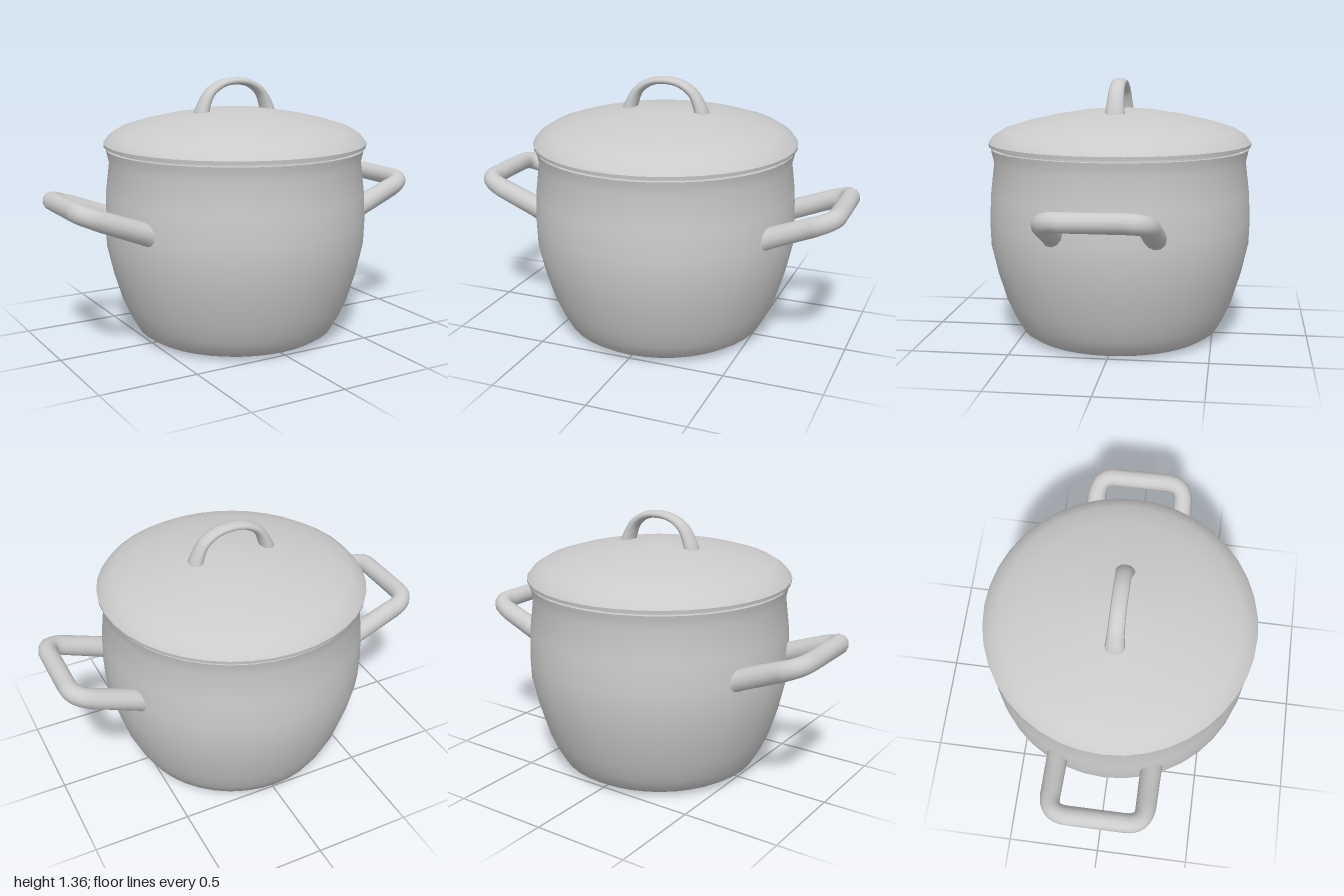
import * as THREE from 'three';
import { toCreasedNormals } from 'three/addons/utils/BufferGeometryUtils.js';

const material = new THREE.MeshStandardMaterial({ color: 0xcccccc, side: THREE.DoubleSide });

function addMesh(parent, name, geometry) {
  const mesh = new THREE.Mesh(geometry, material);
  mesh.name = name;
  parent.add(mesh);
  return mesh;
}

// Revolve a profile of [radius, height] pairs, listed from the bottom outwards
function revolve(profile) {
  const points = profile.map(([r, y]) => new THREE.Vector2(r, y));
  return toCreasedNormals(new THREE.LatheGeometry(points, 40), 0.7);
}

// Sweep an oval along a flat path; size(t) gives [half size in plane, half size along z]
function sweep(points, size, sides = 12) {
  const position = [], index = [];
  const last = points.length - 1;
  points.forEach((p, i) => {
    const tangent = points[Math.min(i + 1, last)].clone().sub(points[Math.max(i - 1, 0)]).normalize();
    const [a, b] = size(i / last);
    for (let j = 0; j < sides; j++) {
      const angle = (j / sides) * Math.PI * 2;
      const c = Math.cos(angle) * a;
      position.push(p.x - tangent.y * c, p.y + tangent.x * c, Math.sin(angle) * b);
      if (i === last) continue;
      const k = i * sides + j, n = i * sides + ((j + 1) % sides);
      index.push(k, k + sides, n, n, k + sides, n + sides);
    }
  });
  // Flip the winding so that faces point away from the path
  for (let i = 0; i < index.length; i += 3) [index[i + 1], index[i + 2]] = [index[i + 2], index[i + 1]];
  const geometry = new THREE.BufferGeometry();
  geometry.setAttribute('position', new THREE.Float32BufferAttribute(position, 3));
  geometry.setIndex(index);
  geometry.computeVertexNormals();
  return geometry;
}

export function createModel() {
  const model = new THREE.Group();
  model.name = 'cookingPot';

  // Pot: bulging outer wall, flared rim, thin inner wall and floor
  addMesh(model, 'potBody', revolve([
    [0, 0.003], [0.44, 0.003], [0.485, 0.014], [0.525, 0.04], [0.565, 0.11], [0.605, 0.2],
    [0.65, 0.35], [0.683, 0.5], [0.687, 0.62], [0.68, 0.77], [0.66, 0.93], [0.672, 0.985],
    [0.675, 1.0], [0.652, 1.0], [0.638, 0.93], [0.66, 0.62], [0.62, 0.35], [0.54, 0.11],
    [0.44, 0.03], [0, 0.03],
  ]));

  // Lid: shallow dome with a rolled edge and hollow underside
  addMesh(model, 'lid', revolve([
    [0, 1.185], [0.2, 1.17], [0.4, 1.13], [0.58, 1.075], [0.645, 1.03], [0.65, 1.013],
    [0.685, 1.013], [0.687, 1.03], [0.66, 1.065], [0.605, 1.1], [0.5, 1.133], [0.37, 1.163],
    [0.2, 1.192], [0.08, 1.203], [0, 1.205],
  ]));

  // Lid grip: flattened arch, thicker at its feet
  const arch = new THREE.SplineCurve([
    [-0.2, 1.17], [-0.19, 1.21], [-0.15, 1.285], [-0.08, 1.33], [0, 1.342],
    [0.08, 1.33], [0.15, 1.285], [0.19, 1.21], [0.2, 1.17],
  ].map(([x, y]) => new THREE.Vector2(x, y)));
  addMesh(model, 'lidGrip', sweep(arch.getSpacedPoints(32), (t) => {
    const foot = Math.abs(t * 2 - 1);
    return [0.019 + 0.02 * foot ** 2, 0.039 + 0.014 * foot ** 3];
  }));

  // Side handles: rounded square loops rising outwards
  const loop = new THREE.Path();
  loop.moveTo(-0.04, -0.245);
  loop.lineTo(0.02, -0.243);
  loop.lineTo(0.25, -0.24);
  loop.quadraticCurveTo(0.355, -0.24, 0.355, -0.145);
  loop.lineTo(0.355, 0.145);
  loop.quadraticCurveTo(0.355, 0.24, 0.25, 0.24);
  loop.lineTo(0.02, 0.243);
  loop.lineTo(-0.04, 0.245);
  const handle = sweep(loop.getPoints(8), (t) => {
    const r = 0.048 + 0.012 * Math.abs(t * 2 - 1) ** 6;
    return [r, r];
  });
  handle.rotateX(Math.PI / 2).rotateZ(0.372).translate(0.62, 0.645, 0);
  addMesh(model, 'leftHandle', handle);
  addMesh(model, 'rightHandle', handle).rotation.y = Math.PI;

  return model;
}
